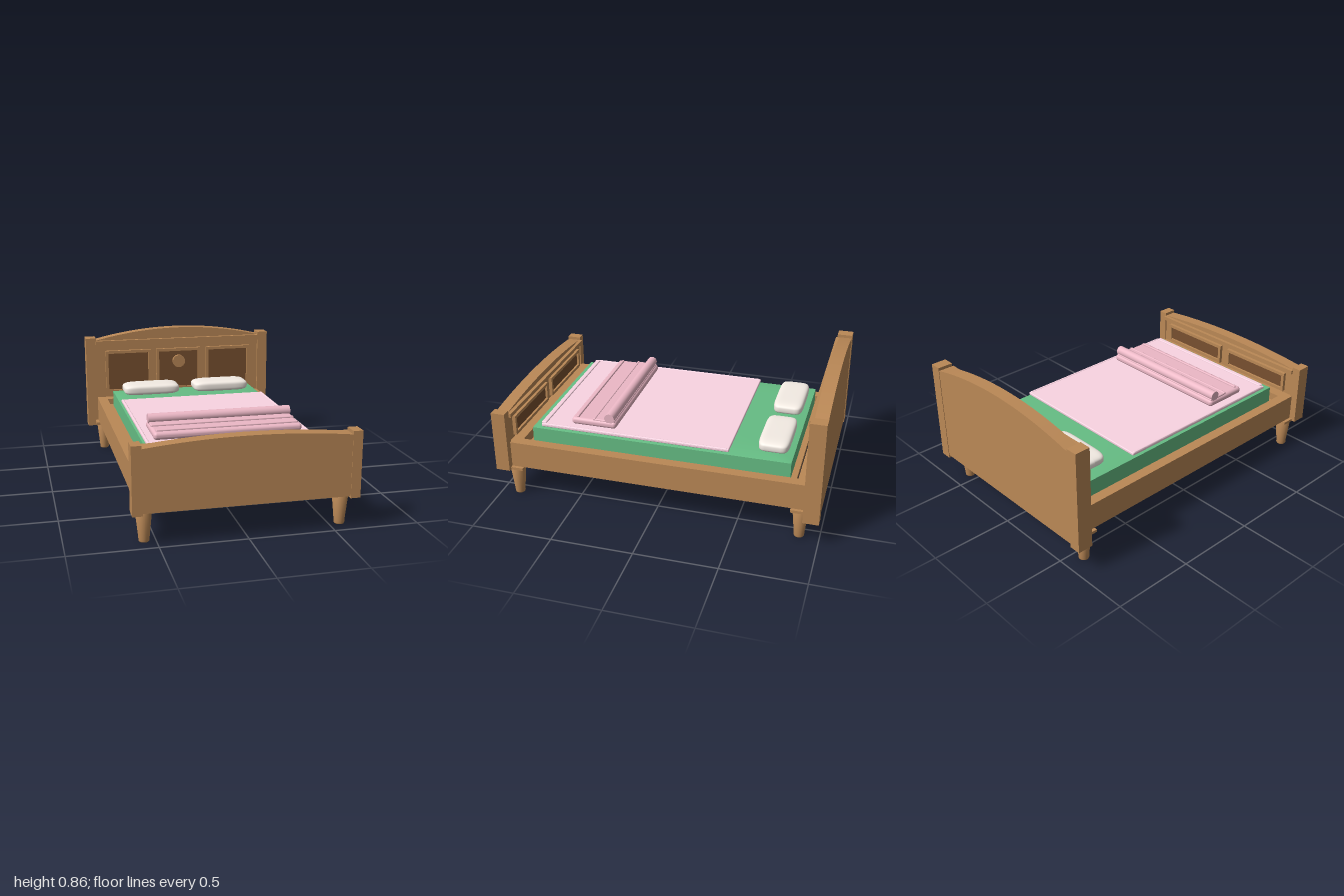
import * as THREE from 'three';
import { RoundedBoxGeometry } from 'three/addons/geometries/RoundedBoxGeometry.js';

const mat = (color) => new THREE.MeshStandardMaterial({ color });

export function createModel() {
  const bed = new THREE.Group();
  bed.name = 'bed';
  const wood = mat(0xba8856), darkWood = mat(0x785030), green = mat(0x66bd84);
  const cream = mat(0xf4ece4), pink = mat(0xfad4e2), rose = mat(0xecb8c6);

  const add = (name, geometry, material, x = 0, y = 0, z = 0) => {
    const mesh = new THREE.Mesh(geometry, material);
    mesh.name = name;
    mesh.position.set(x, y, z);
    bed.add(mesh);
  };
  // Boxes are given by their limits on each axis
  const box = (name, material, [x0, x1], [y0, y1], [z0, z1], radius = 0) => {
    const size = [x1 - x0, y1 - y0, z1 - z0];
    const g = radius ? new RoundedBoxGeometry(...size, 4, radius) : new THREE.BoxGeometry(...size);
    add(name, g, material, (x0 + x1) / 2, (y0 + y1) / 2, (z0 + z1) / 2);
  };

  // Board with a gently arched top edge
  const archedBoard = (name, half, y0, ySide, yTop, z0, z1) => {
    const s = new THREE.Shape();
    s.moveTo(-half, y0);
    s.lineTo(half, y0);
    s.lineTo(half, ySide);
    s.quadraticCurveTo(0, 2 * yTop - ySide, -half, ySide);
    const g = new THREE.ExtrudeGeometry(s, { depth: z1 - z0, bevelEnabled: false, curveSegments: 32 });
    add(name, g, wood, 0, 0, z0);
  };

  // Raised frame around a dark inset panel; dir is the way it faces along z
  const framedPanel = (name, x0, x1, y0, y1, z, dir) => {
    const t = 0.02, depth = 0.022;
    const rect = (P, a, b, c, d) => new P([
      new THREE.Vector2(a, c), new THREE.Vector2(b, c), new THREE.Vector2(b, d), new THREE.Vector2(a, d)]);
    const s = rect(THREE.Shape, x0, x1, y0, y1);
    s.holes.push(rect(THREE.Path, x0 + t, x1 - t, y0 + t, y1 - t));
    const g = new THREE.ExtrudeGeometry(s, { depth, bevelEnabled: false });
    add(name + 'Frame', g, wood, 0, 0, dir > 0 ? z : z - depth);
    const zs = [z, z + dir * 0.008].sort((a, b) => a - b);
    box(name + 'Inset', darkWood, [x0 + t, x1 - t], [y0 + t, y1 - t], zs);
  };

  // Headboard
  archedBoard('headboard', 0.605, 0.18, 0.78, 0.855, -0.997, -0.92);
  box('headboardMoulding', wood, [-0.602, 0.602], [0.745, 0.78], [-0.925, -0.895]);
  for (const [x0, x1] of [[-0.535, -0.205], [-0.165, 0.165], [0.205, 0.535]])
    framedPanel('headboardPanel', x0, x1, 0.4, 0.705, -0.92, 1);
  add('medallion', new THREE.CylinderGeometry(0.045, 0.045, 0.03, 32).rotateX(Math.PI / 2), wood, 0, 0.61, -0.903);

  // Footboard, with its panels facing the mattress
  archedBoard('footboard', 0.59, 0.197, 0.555, 0.59, 0.92, 0.997);
  box('footboardMoulding', wood, [-0.588, 0.588], [0.53, 0.555], [0.897, 0.925]);
  for (const [x0, x1] of [[-0.53, -0.03], [0.03, 0.53]])
    framedPanel('footboardPanel', x0, x1, 0.38, 0.51, 0.92, -1);

  // Tapered leg profile
  const legProfile = [[0, 0], [0.028, 0], [0.031, 0.006], [0.031, 0.02], [0.048, 0.185], [0, 0.185]]
    .map(([r, y]) => new THREE.Vector2(r, y));

  // Posts, side rails and legs, mirrored left and right
  for (const s of [-1, 1]) {
    const span = (a, b) => (s > 0 ? [a, b] : [-b, -a]);
    box('headPost', wood, span(0.6, 0.672), [0.16, 0.8], [-1, -0.905]);
    box('footPost', wood, span(0.585, 0.642), [0.185, 0.575], [0.912, 1]);
    box('sideRail', wood, span(0.535, 0.6), [0.2, 0.365], [-0.92, 0.92]);
    for (const z of [-0.88, 0.89]) {
      box('legPlate', wood, span(0.51, 0.62), [0.183, 0.2], [z - 0.055, z + 0.055]);
      add('leg', new THREE.LatheGeometry(legProfile, 28), wood, s * 0.565, 0, z);
    }
  }
  box('headRail', wood, [-0.536, 0.536], [0.2, 0.365], [-0.925, -0.85]);
  box('footRail', wood, [-0.536, 0.536], [0.2, 0.365], [0.85, 0.925]);
  box('platform', wood, [-0.52, 0.52], [0.3, 0.33], [-0.835, 0.83]);

  // Mattress with a slightly crowned top
  const mattress = new THREE.BoxGeometry(1, 0.126, 1.6, 24, 1, 32);
  const mp = mattress.attributes.position;
  for (let i = 0; i < mp.count; i++) {
    const edge = Math.max(Math.abs(mp.getX(i)) / 0.5, Math.abs(mp.getZ(i)) / 0.8);
    if (mp.getY(i) > 0) mp.setY(i, 0.063 - 0.012 * edge ** 8);
  }
  mattress.computeVertexNormals();
  add('mattress', mattress, green, 0, 0.383, 0);

  // Pillows: a sphere squared off in plan and in section
  const power = (v, e) => Math.sign(v) * Math.abs(v) ** e;
  const pillow = new THREE.SphereGeometry(1, 48, 24);
  const pp = pillow.attributes.position;
  for (let i = 0; i < pp.count; i++) {
    const y = pp.getY(i), r = Math.sqrt(Math.max(0, 1 - y * y)), a = Math.atan2(pp.getZ(i), pp.getX(i));
    const ring = r ** 0.35;
    pp.setXYZ(i, 0.195 * ring * power(Math.cos(a), 0.35), 0.036 * power(y, 0.6), 0.093 * ring * power(Math.sin(a), 0.35));
  }
  pillow.computeVertexNormals();
  for (const s of [-1, 1]) add('pillow', pillow, cream, s * 0.248, 0.476, -0.678);

  // Spread blanket with hems
  box('blanket', pink, [-0.492, 0.492], [0.444, 0.463], [-0.43, 0.745], 0.006);
  box('blanketHem', pink, [-0.475, 0.475], [0.456, 0.47], [0.718, 0.75], 0.006);
  for (const s of [-1, 1])
    box('blanketSideHem', pink, [s * 0.483 - 0.008, s * 0.483 + 0.008], [0.452, 0.466], [-0.42, 0.73], 0.006);

  // Folded throw: stacked layers, ridges and a roll
  box('foldedThrow', rose, [-0.445, 0.445], [0.462, 0.508], [0.28, 0.565], 0.02);
  box('throwLayer', rose, [-0.437, 0.437], [0.498, 0.514], [0.29, 0.425], 0.007);
  for (const [z, half] of [[0.42, 0.437], [0.528, 0.427]])
    box('throwFold', rose, [-half, half], [0.5, 0.518], [z - 0.008, z + 0.008], 0.006);
  add('throwRoll', new THREE.CylinderGeometry(0.031, 0.031, 0.88, 28).rotateZ(Math.PI / 2), rose, 0, 0.528, 0.322);

  return bed;
}
